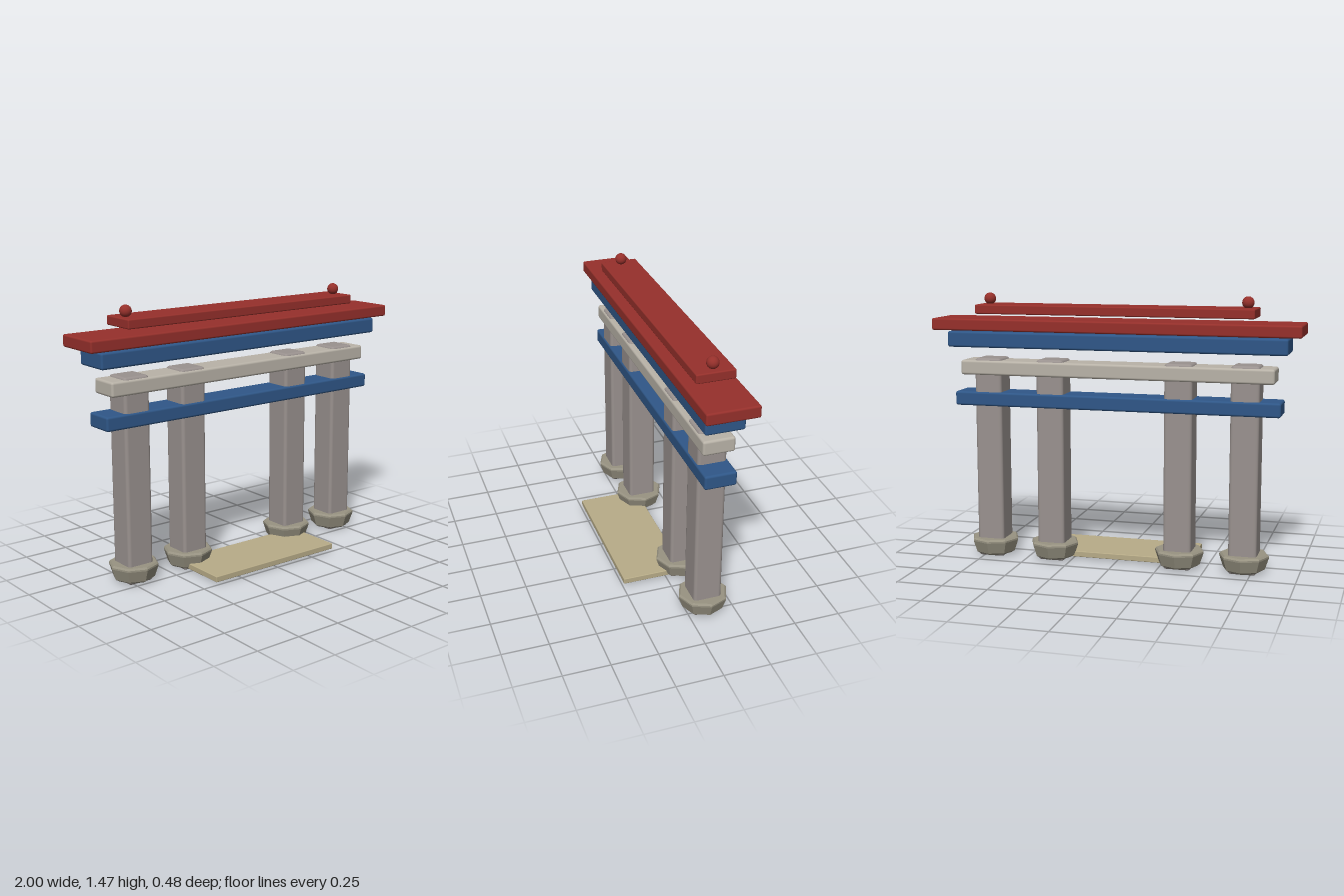
import * as THREE from 'three';
import { RoundedBoxGeometry } from 'three/addons/geometries/RoundedBoxGeometry.js';

const paint = (color, flatShading = false) => new THREE.MeshStandardMaterial({ color, flatShading });

export function createModel() {
  const gate = new THREE.Group();
  gate.name = 'gateway';

  const red = paint(0x96302b), blue = paint(0x2f5788);
  const columnStone = paint(0x9a928f), beamStone = paint(0xb9b3a8);
  const baseStone = paint(0x989382, true), paving = paint(0xb8ac88);

  const add = (name, geometry, material, x, y, z) => {
    const mesh = new THREE.Mesh(geometry, material);
    mesh.name = name;
    mesh.position.set(x, y, z);
    gate.add(mesh);
    return mesh;
  };

  // Softly bevelled bar centred on x, given by its y and z limits
  const bar = (name, material, width, y0, y1, z0, z1, bevel) =>
    add(name, new RoundedBoxGeometry(width, y1 - y0, z1 - z0, 2, bevel), material,
      0, (y0 + y1) / 2, (z0 + z1) / 2);

  // Columns with bevelled edges, standing in faceted bowl-shaped bases
  const columnGeometry = new RoundedBoxGeometry(0.152, 1.112, 0.152, 2, 0.018);
  const baseProfile = [[0, 0.01], [0.095, 0.01], [0.113, 0.022], [0.134, 0.085], [0.134, 0.094], [0.125, 0.103], [0, 0.103]]
    .map(([r, y]) => new THREE.Vector2(r, y));
  const baseGeometry = new THREE.LatheGeometry(baseProfile, 8);
  for (const x of [-0.707, -0.354, 0.354, 0.707]) {
    add('column', columnGeometry, columnStone, x, 0.556, -0.097);
    add('columnBase', baseGeometry, baseStone, x, 0, -0.098);
  }

  // Cross beams, from the bottom up
  bar('lowerBeam', blue, 1.79, 0.85, 0.927, -0.182, -0.014, 0.012);
  bar('stoneBeam', beamStone, 1.72, 1.02, 1.1, -0.182, -0.014, 0.013);
  bar('upperBeam', blue, 1.855, 1.172, 1.258, -0.2, 0.006, 0.012);

  // Roof slab, ridge and finials
  bar('roof', red, 2, 1.266, 1.33, -0.242, 0.032, 0.01);
  bar('ridge', red, 1.515, 1.356, 1.406, -0.215, -0.01, 0.007);
  const finialGeometry = new THREE.SphereGeometry(0.032, 20, 14);
  for (const x of [-0.707, 0.707]) add('finial', finialGeometry, red, x, 1.434, -0.112);

  // Paving slab in front of the middle opening
  bar('pavingSlab', paving, 0.824, 0.011, 0.043, -0.1, 0.242, 0.004);

  return gate;
}
